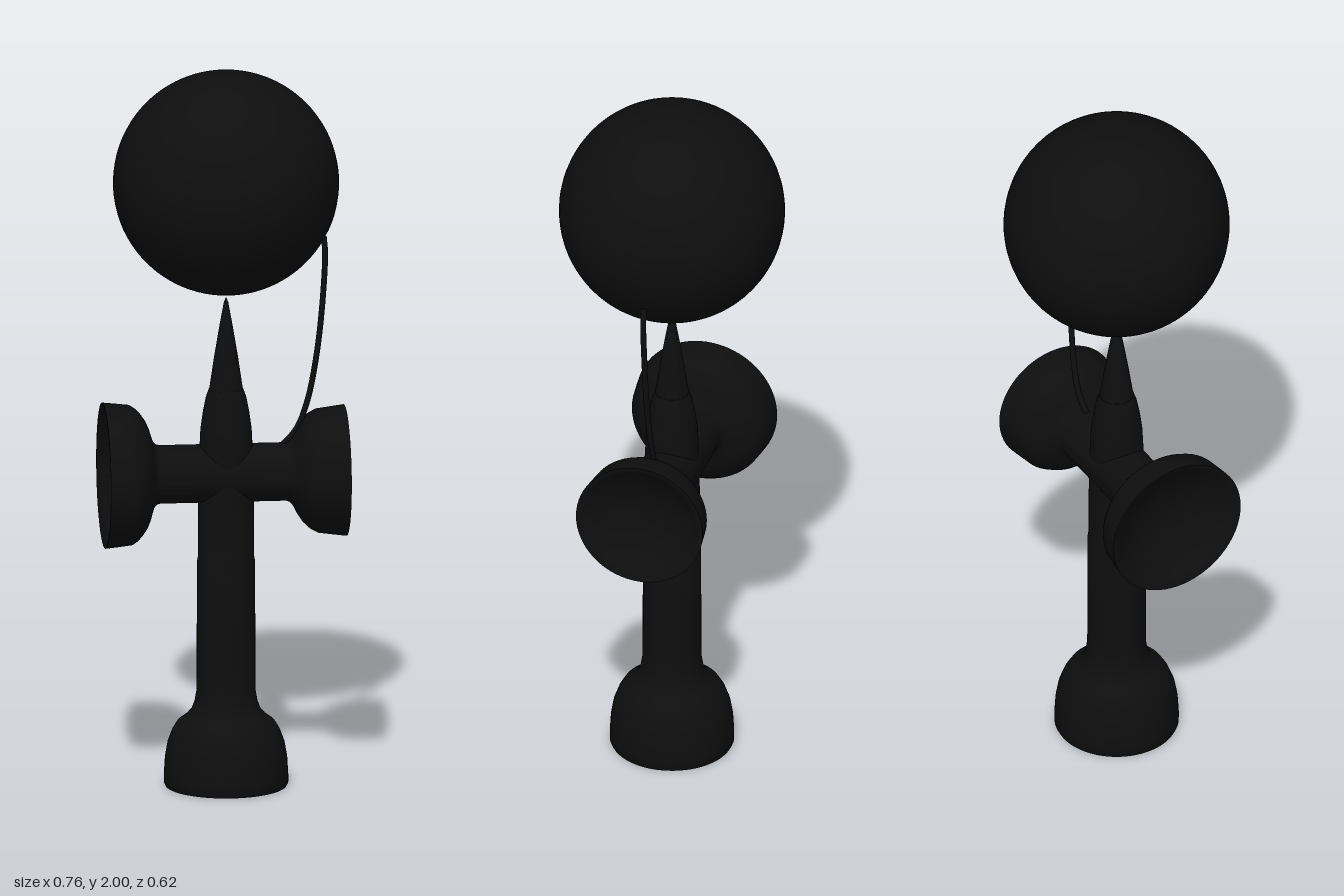
import * as THREE from 'three';
import { toCreasedNormals } from 'three/addons/utils/BufferGeometryUtils.js';

const material = new THREE.MeshStandardMaterial({ color: 0x0e0e0e });

// Revolved part from [radius, height] pairs, with sharp edges kept
function turned(name, pairs, segments = 64) {
  const points = pairs.map(([r, y]) => new THREE.Vector2(r, y));
  const geometry = toCreasedNormals(new THREE.LatheGeometry(points, segments), 0.8);
  const mesh = new THREE.Mesh(geometry, material);
  mesh.name = name;
  return mesh;
}

// Hollow of a cup: from its deepest point on the axis out to the rim
function bowl(radius, rimY, depth, steps = 10) {
  const R = (radius * radius + depth * depth) / (2 * depth);
  const pairs = [];
  for (let i = 0; i <= steps; i++) {
    const r = (radius * i) / steps;
    pairs.push([r, rimY + depth - R + Math.sqrt(R * R - r * r)]);
  }
  return pairs;
}

export function createModel() {
  const model = new THREE.Group();
  const axis = new THREE.Group();
  axis.position.set(0.007, 0, -0.001);
  model.add(axis);

  // Handle with a hollow foot
  axis.add(turned('handle', [
    ...bowl(0.16, 0, 0.06),
    [0.166, 0], [0.17, 0.008], [0.17, 0.03], [0.167, 0.08], [0.16, 0.12], [0.147, 0.155],
    [0.133, 0.178], [0.11, 0.195], [0.095, 0.212], [0.086, 0.235], [0.081, 0.265],
    [0.08, 0.3], [0.08, 0.45], [0.079, 0.63], [0.077, 0.64], [0.076, 0.8],
    [0.073, 0.94], [0.07, 1.0], [0.063, 1.05], [0.055, 1.09], [0.047, 1.112], [0, 1.112],
  ]));

  // Spike
  axis.add(turned('spike', [
    [0.047, 1.105], [0.033, 1.2], [0.018, 1.29], [0.006, 1.355], [0, 1.37],
  ]));

  // Crossbar with a large cup on one end and a smaller one on the other
  const crossbar = new THREE.Group();
  crossbar.name = 'crossbar';
  crossbar.position.y = 0.875;
  crossbar.rotation.y = 0.384;
  const cups = turned('barAndCups', [
    ...bowl(0.193, -0.329, 0.075),
    [0.2, -0.329], [0.196, -0.29], [0.192, -0.256], [0.183, -0.242], [0.17, -0.229],
    [0.15, -0.215], [0.13, -0.206], [0.11, -0.2], [0.093, -0.194], [0.083, -0.186], [0.08, -0.175],
    [0.08, 0.17], [0.084, 0.181], [0.095, 0.19], [0.115, 0.2], [0.14, 0.216], [0.158, 0.235],
    [0.17, 0.257], [0.175, 0.295], [0.18, 0.334],
    ...bowl(0.174, -0.334, 0.065).reverse().map(([r, y]) => [r, -y]),
  ]);
  cups.rotation.z = -Math.PI / 2;
  crossbar.add(cups);
  model.add(crossbar);

  // Ball with a deep bored hole underneath
  const ballRadius = 0.309;
  const holeRadius = 0.06;
  const start = Math.asin(holeRadius / ballRadius);
  const ballProfile = [[0, 0.05], [holeRadius, 0.05]];
  for (let i = 0; i <= 40; i++) {
    const a = start + ((Math.PI - start) * i) / 40;
    ballProfile.push([Math.max(0, ballRadius * Math.sin(a)), -ballRadius * Math.cos(a)]);
  }
  const ball = turned('ball', ballProfile);
  ball.position.y = 1.691;
  axis.add(ball);

  // String from the ball to the crossbar
  const path = new THREE.CatmullRomCurve3([
    [0.256, 1.535, -0.1], [0.26, 1.49, -0.1], [0.253, 1.35, -0.099],
    [0.237, 1.2, -0.095], [0.212, 1.07, -0.09], [0.182, 0.99, -0.08], [0.13, 0.93, -0.055],
  ].map((p) => new THREE.Vector3(...p)));
  const string = new THREE.Mesh(new THREE.TubeGeometry(path, 48, 0.008, 10), material);
  string.name = 'string';
  model.add(string);

  return model;
}
